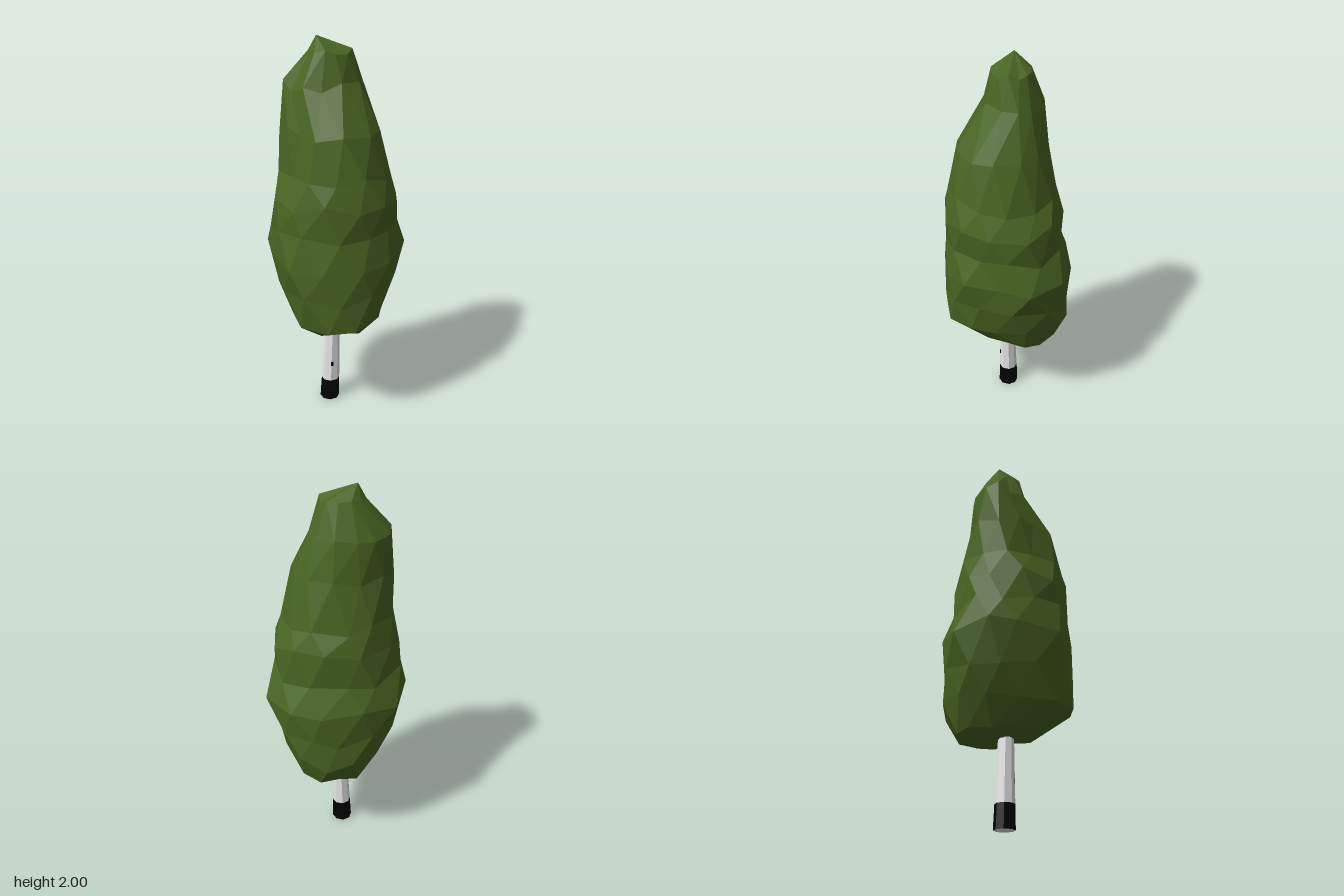
import * as THREE from 'three';

const SIDES = 12;

// Crown cross-sections from bottom to top: y, xMin, xMax, zMin, zMax
const CROWN = [
  [0.465, -0.165, 0.205, -0.265, 0.13],
  [0.60, -0.24, 0.265, -0.31, 0.31],
  [0.75, -0.31, 0.32, -0.32, 0.325],
  [0.92, -0.355, 0.345, -0.32, 0.315],
  [1.06, -0.345, 0.32, -0.285, 0.31],
  [1.22, -0.32, 0.31, -0.275, 0.305],
  [1.34, -0.305, 0.27, -0.255, 0.29],
  [1.56, -0.285, 0.205, -0.20, 0.24],
  [1.77, -0.265, 0.125, -0.19, 0.11],
  [1.93, -0.14, 0.07, -0.12, 0.065],
];

// Lobes and hollows: angle in degrees (0 = +x, 90 = +z), height, angular and vertical reach, amount
const LOBES = [
  [128, 0.68, 24, 0.35, 0.09],
  [148, 1.53, 24, 0.24, -0.25],
  [163, 0.88, 14, 0.25, -0.05],
  [20, 0.82, 17, 0.38, -0.17],
  [-6, 0.92, 12, 0.07, 0.05],
  [-48, 0.74, 28, 0.38, 0.08],
  [-135, 0.78, 28, 0.42, 0.08],
];

function lobeScale(deg, y) {
  let k = 1;
  for (const [angle, h, reach, tall, amount] of LOBES) {
    const d = (((deg - angle + 540) % 360) - 180) / reach;
    k += amount * Math.exp(-d * d - ((y - h) / tall) ** 4);
  }
  return k;
}

function seeded(seed) {
  return () => {
    seed = (seed * 16807) % 2147483647;
    return seed / 2147483647 - 0.5;
  };
}

// Unindexed triangles give crisp facets
function facets(points) {
  const g = new THREE.BufferGeometry().setFromPoints(points);
  g.computeVertexNormals();
  return g;
}

function crownGeometry() {
  const rand = seeded(77);
  const rings = CROWN.map(([y, x0, x1, z0, z1], r) => {
    const odd = r % 2;
    const grow = odd ? 1 / Math.cos(Math.PI / SIDES) : 1;
    return Array.from({ length: SIDES }, (_, i) => {
      const deg = ((i + odd / 2 + rand() * 0.3) / SIDES) * 360;
      const a = THREE.MathUtils.degToRad(deg);
      const k = grow * lobeScale(deg, y) * (1 + rand() * 0.02);
      return new THREE.Vector3(
        (x0 + x1) / 2 + ((x1 - x0) / 2) * Math.cos(a) * k,
        y + rand() * (r > 0 && r < 9 ? 0.06 : 0.03),
        (z0 + z1) / 2 + ((z1 - z0) / 2) * Math.sin(a) * k
      );
    });
  });
  const bottom = new THREE.Vector3(-0.02, 0.43, -0.01);
  const top = new THREE.Vector3(-0.1, 2, -0.045);
  const last = rings[rings.length - 1];
  const tris = [];
  for (let i = 0; i < SIDES; i++) {
    const j = (i + 1) % SIDES;
    for (let r = 0; r < rings.length - 1; r++) {
      const L = rings[r], U = rings[r + 1];
      if (r % 2) tris.push(L[i], U[i], U[j], L[i], U[j], L[j]);
      else tris.push(L[i], U[i], L[j], L[j], U[i], U[j]);
    }
    tris.push(bottom, rings[0][i], rings[0][j], last[i], top, last[j]);
  }
  return facets(tris);
}

// Slightly leaning, tapered trunk piece between two heights
function trunkGeometry(y0, y1) {
  const radius = (y) => 0.053 - 0.031 * y;
  const g = new THREE.CylinderGeometry(radius(y1), radius(y0), y1 - y0, 8, 1, true);
  g.translate(0, (y0 + y1) / 2, 0);
  const p = g.attributes.position;
  for (let i = 0; i < p.count; i++) {
    const y = p.getY(i);
    p.setX(i, p.getX(i) - 0.043 + 0.035 * y);
    p.setZ(i, p.getZ(i) - 0.016 + 0.015 * y);
  }
  const flat = g.toNonIndexed();
  flat.computeVertexNormals();
  return flat;
}

export function createModel() {
  const leaf = new THREE.MeshStandardMaterial({ color: 0x486522 });
  leaf.name = 'leaf green';
  const bark = new THREE.MeshStandardMaterial({ color: 0xf0f0f0 });
  bark.name = 'pale bark';
  const dark = new THREE.MeshStandardMaterial({ color: 0x020202 });
  dark.name = 'dark bark';

  const model = new THREE.Group();
  model.name = 'tree';
  const add = (name, geometry, material) => {
    const mesh = new THREE.Mesh(geometry, material);
    mesh.name = name;
    model.add(mesh);
    return mesh;
  };

  add('crown', crownGeometry(), leaf);
  add('trunk', trunkGeometry(0.122, 0.5), bark);
  add('trunkBase', trunkGeometry(0, 0.122), dark);

  // Pale underside of the trunk
  const foot = add('trunkUnderside', new THREE.CircleGeometry(0.053, 8), bark);
  foot.rotation.x = Math.PI / 2;
  foot.position.set(-0.043, 0, -0.016);

  // Small dark bark fleck
  const fleck = add('barkFleck', new THREE.BoxGeometry(0.014, 0.024, 0.006), dark);
  fleck.position.set(-0.032, 0.23, 0.031);
  return model;
}
